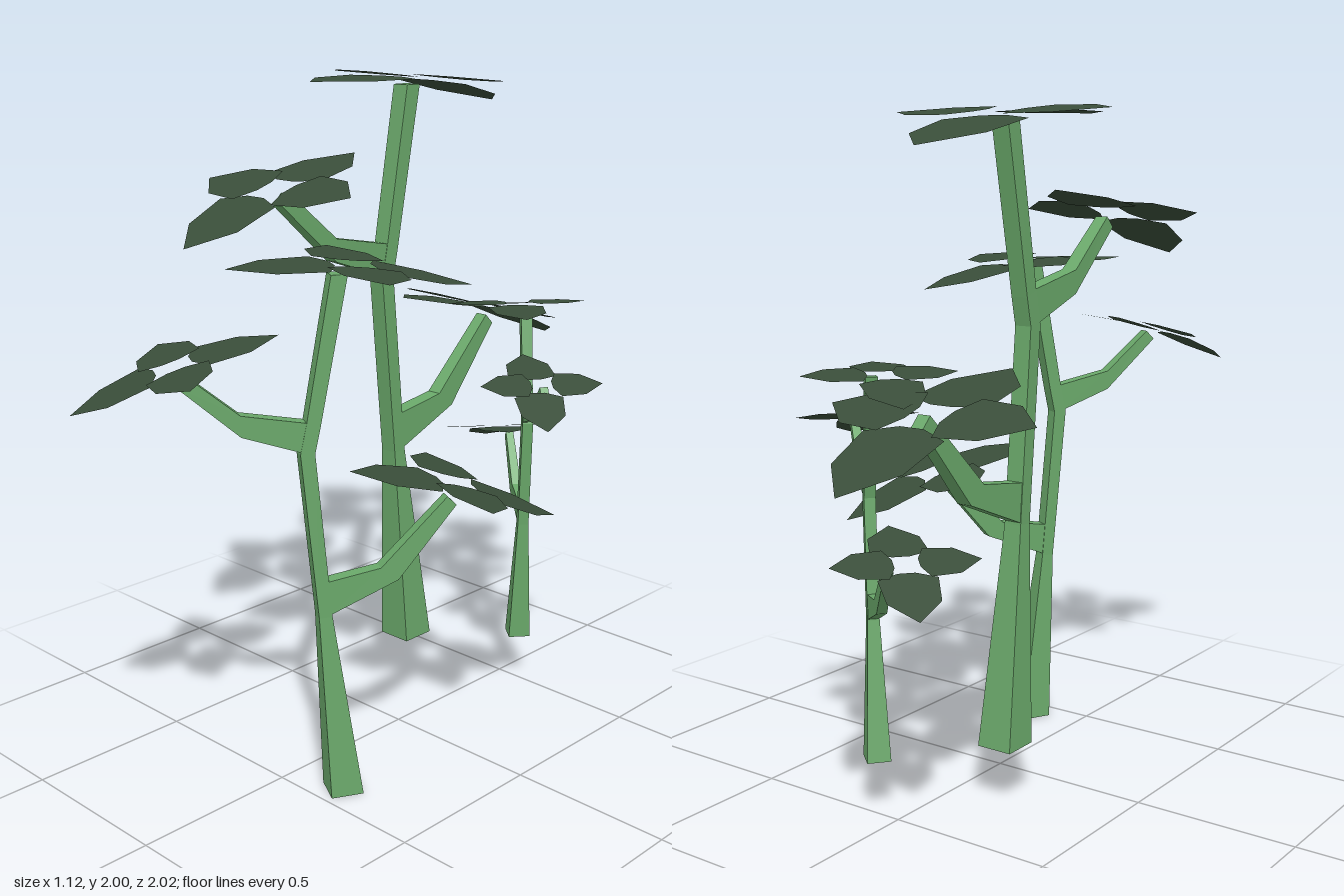
import * as THREE from 'three';

const bark = new THREE.MeshStandardMaterial({ color: 0x6aa86a, flatShading: true });
const foliage = new THREE.MeshStandardMaterial({ color: 0x3a4e3a, flatShading: true, side: THREE.DoubleSide });

// Four-sided limb lofted through sections [zA, yA, zB, yB, halfWidth].
// A is the front (or upper) edge, B the back (or lower) edge.
function limb(name, sections) {
  const rings = sections.map(([za, ya, zb, yb, w]) => [
    new THREE.Vector3(-w, ya, za), new THREE.Vector3(w, ya, za),
    new THREE.Vector3(w, yb, zb), new THREE.Vector3(-w, yb, zb),
  ]);
  const points = [];
  const quad = (a, b, c, d) => points.push(a, b, c, a, c, d);
  for (let i = 0; i < rings.length - 1; i++) {
    const r = rings[i], s = rings[i + 1];
    for (let k = 0; k < 4; k++) {
      const n = (k + 1) % 4;
      quad(r[k], r[n], s[n], s[k]);
    }
  }
  const first = rings[0], last = rings[rings.length - 1];
  quad(first[3], first[2], first[1], first[0]);
  quad(last[0], last[1], last[2], last[3]);
  const geometry = new THREE.BufferGeometry().setFromPoints(points);
  geometry.computeVertexNormals();
  const mesh = new THREE.Mesh(geometry, bark);
  mesh.name = name;
  return mesh;
}

// Flat angular leaf, pointing to -z from the middle of its cluster
function leafGeometry(length) {
  const outline = [[0.1, 0.17], [0.34, 0.27], [0.3, 0.67], [0, 1], [-0.3, 0.67], [-0.34, 0.27], [-0.1, 0.17]];
  const shape = new THREE.Shape(outline.map(([x, y]) => new THREE.Vector2(x * length, y * length)));
  return new THREE.ShapeGeometry(shape).rotateX(-Math.PI / 2);
}

// Four leaves in a cross; the whole cluster tilts, front and back leaves droop
function leafCluster(name, [x, y, z], length, tilt, droop, shift) {
  const cluster = new THREE.Group();
  cluster.name = name;
  const leaves = [
    ['backLeaf', 0, 1, tilt + droop, shift],
    ['frontLeaf', Math.PI, 1, tilt - droop, shift],
    ['leftLeaf', -Math.PI / 2, 0.86, tilt, 0],
    ['rightLeaf', Math.PI / 2, 0.86, tilt, 0],
  ];
  for (const [leafName, turn, size, slope, dx] of leaves) {
    const geometry = leafGeometry(length * size).rotateY(turn).rotateX(-Math.atan(slope)).translate(dx, 0, 0);
    const leaf = new THREE.Mesh(geometry, foliage);
    leaf.name = leafName;
    cluster.add(leaf);
  }
  cluster.position.set(x, y, z);
  return cluster;
}

function tree(name, x, y, z, scale, turn) {
  const group = new THREE.Group();
  group.name = name;
  group.add(
    limb('trunk', [
      [0.056, 0, -0.056, 0, 0.056],
      [0.083, 0.652, 0.038, 0.652, 0.028],
      [0.136, 1.217, 0.088, 1.217, 0.027],
      [0.115, 1.315, 0.07, 1.3, 0.027],
      [0.03, 1.787, -0.024, 1.787, 0.028],
    ]),
    limb('upperBranch', [
      [0.1, 1.318, 0.11, 1.217, 0.026],
      [0.323, 1.362, 0.323, 1.292, 0.024],
      [0.499, 1.51, 0.531, 1.478, 0.02],
    ]),
    // Runs toward -z, so the lower edge comes first to keep faces outward
    limb('lowerBranch', [
      [0.06, 0.652, 0.06, 0.774, 0.026],
      [-0.19, 0.753, -0.13, 0.802, 0.024],
      [-0.392, 0.993, -0.36, 1.025, 0.02],
    ]),
    leafCluster('topLeaves', [-0.03, 1.807, -0.066], 0.41, 0.12, 0.12, -0.03),
    leafCluster('upperBranchLeaves', [-0.015, 1.527, 0.519], 0.345, -0.32, 0.12, -0.03),
    leafCluster('lowerBranchLeaves', [-0.07, 1.042, -0.426], 0.385, 0.32, 0.12, 0.01),
  );
  // Fix limbs whose section order turns them inside out
  group.children.filter((c) => c.isMesh).forEach((mesh) => outward(mesh.geometry));
  group.position.set(x, y, z);
  group.rotation.y = turn;
  group.scale.setScalar(scale);
  return group;
}

// Reverse the winding when the enclosed volume is negative
function outward(geometry) {
  const p = geometry.attributes.position;
  const [a, b, c] = [0, 1, 2].map(() => new THREE.Vector3());
  let volume = 0;
  for (let i = 0; i < p.count; i += 3) {
    a.fromBufferAttribute(p, i);
    b.fromBufferAttribute(p, i + 1);
    c.fromBufferAttribute(p, i + 2);
    volume += a.dot(b.cross(c));
  }
  if (volume >= 0) return;
  for (let i = 0; i < p.count; i += 3) {
    b.fromBufferAttribute(p, i + 1);
    c.fromBufferAttribute(p, i + 2);
    p.setXYZ(i + 1, c.x, c.y, c.z);
    p.setXYZ(i + 2, b.x, b.y, b.z);
  }
  geometry.computeVertexNormals();
}

export function createModel() {
  const model = new THREE.Group();
  model.name = 'treeGroup';
  model.add(
    tree('tallTree', -0.175, 0.178, -0.219, 1, 0),
    tree('frontTree', 0.173, 0, 0.415, 0.854, -0.5),
    tree('smallTree', 0.08, 0.165, -0.493, 0.62, 0.87),
  );
  return model;
}
